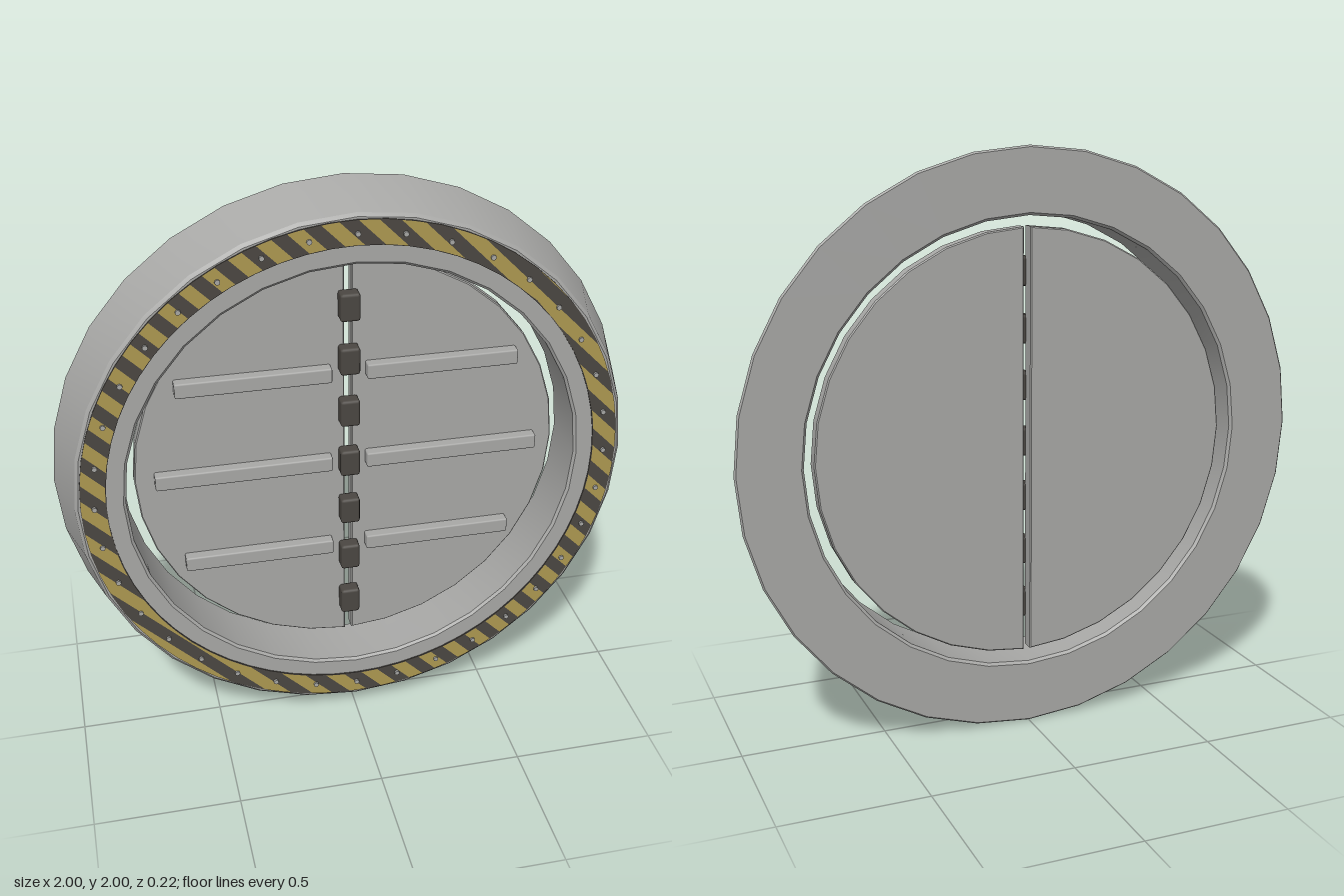
import * as THREE from 'three';
import { toCreasedNormals } from 'three/addons/utils/BufferGeometryUtils.js';
import { RoundedBoxGeometry } from 'three/addons/geometries/RoundedBoxGeometry.js';

const SEGMENTS = 32;
const steel = new THREE.MeshStandardMaterial({ color: 0xa8a8a6 });
steel.name = 'steel';
const dark = new THREE.MeshStandardMaterial({ color: 0x4b4742 });
dark.name = 'darkMetal';
const yellow = new THREE.MeshStandardMaterial({ color: 0xad9850 });
yellow.name = 'warningYellow';

function add(parent, name, geometry, material, x = 0, y = 0, z = 0) {
  const mesh = new THREE.Mesh(geometry, material);
  mesh.name = name;
  mesh.position.set(x, y, z);
  parent.add(mesh);
  return mesh;
}

// Closed (radius, z) profile turned about the z axis
function turned(profile, segments) {
  const pts = [...profile, profile[0]].map(([r, z]) => new THREE.Vector2(r, z));
  const geometry = new THREE.LatheGeometry(pts, segments).rotateX(Math.PI / 2);
  return toCreasedNormals(geometry, 0.4);
}

// Parallel diagonal stripes clipped to a flat ring
function stripes(inner, outer, period, phase) {
  const positions = [];
  const steps = 10;
  const half = (r, u) => Math.sqrt(Math.max(0, r * r - u * u));
  const point = (u, v) => [(u - v) * Math.SQRT1_2, (u + v) * Math.SQRT1_2, 0];
  for (let start = phase - period * 25; start < outer; start += period) {
    const a = Math.max(start, -outer);
    const b = Math.min(start + period / 2, outer);
    if (b <= a) continue;
    for (let i = 0; i < steps; i++) {
      const u0 = a + ((b - a) * i) / steps;
      const u1 = a + ((b - a) * (i + 1)) / steps;
      for (const side of [1, -1]) {
        const lo = (u) => (side > 0 ? half(inner, u) : -half(outer, u));
        const hi = (u) => (side > 0 ? half(outer, u) : -half(inner, u));
        const p = point(u0, lo(u0)), q = point(u1, lo(u1));
        const r = point(u1, hi(u1)), s = point(u0, hi(u0));
        positions.push(...p, ...q, ...r, ...p, ...r, ...s);
      }
    }
  }
  const geometry = new THREE.BufferGeometry();
  geometry.setAttribute('position', new THREE.Float32BufferAttribute(positions, 3));
  geometry.computeVertexNormals();
  return geometry;
}

// Half disc with a straight edge next to the centre gap
function halfDisc(radius, gap) {
  const start = Math.asin(gap / radius);
  const shape = new THREE.Shape();
  shape.moveTo(gap, -radius * Math.cos(start));
  for (let i = 1; i < SEGMENTS / 2; i++) {
    const a = -Math.PI / 2 + (i * Math.PI * 2) / SEGMENTS;
    shape.lineTo(radius * Math.cos(a), radius * Math.sin(a));
  }
  shape.lineTo(gap, radius * Math.cos(start));
  shape.closePath();
  const geometry = new THREE.ExtrudeGeometry(shape, {
    depth: 0.042, bevelThickness: 0.004, bevelSize: 0.004, bevelOffset: -0.004, bevelSegments: 1,
  });
  return toCreasedNormals(geometry, 0.4);
}

export function createModel() {
  const model = new THREE.Group();
  model.name = 'roundHatch';
  const hatch = new THREE.Group();
  hatch.name = 'hatch';
  hatch.position.y = 1;
  model.add(hatch);

  // Tapered outer frame with chamfered edges
  add(hatch, 'frame', turned([
    [0.785, -0.112], [0.994, -0.112], [1, -0.105], [0.944, 0.09],
    [0.933, 0.1], [0.785, 0.1], [0.776, 0.092], [0.776, -0.103],
  ], SEGMENTS), steel);

  // Warning band on the front of the frame
  add(hatch, 'warningBand', turned([
    [0.84, 0.097], [0.925, 0.097], [0.925, 0.104], [0.84, 0.104],
  ], 64), dark);
  add(hatch, 'warningStripes', stripes(0.842, 0.923, 0.0884, 0.832), yellow, 0, 0, 0.1055);

  // Bolts around the band
  const boltGeometry = new THREE.CylinderGeometry(0.009, 0.009, 0.012, 8).rotateX(Math.PI / 2);
  for (let i = 0; i < 36; i++) {
    const a = (i * Math.PI) / 18;
    add(hatch, 'bolt', boltGeometry, steel, 0.88 * Math.cos(a), 0.88 * Math.sin(a), 0.106);
  }

  // Two door leaves, each with three ribs
  const leafGeometry = halfDisc(0.738, 0.012);
  for (const side of [0, 1]) {
    const leaf = new THREE.Group();
    leaf.name = side ? 'rightDoor' : 'leftDoor';
    leaf.rotation.z = side * Math.PI;
    hatch.add(leaf);
    add(leaf, 'doorPanel', leafGeometry, steel, 0, 0, -0.084);
    for (const row of [-1, 0, 1]) {
      const end = row ? 0.585 : 0.67;
      const rib = new RoundedBoxGeometry(end - 0.06, 0.054, 0.05, 1, 0.006);
      add(leaf, 'doorRib', rib, steel, (end + 0.06) / 2, row * 0.342, -0.025);
    }
  }

  // Dark clasps joining the leaves
  const claspGeometry = new RoundedBoxGeometry(0.068, 0.098, 0.055, 1, 0.01);
  for (let i = -3; i <= 3; i++) {
    add(hatch, 'clasp', claspGeometry, dark, 0, i * 0.195, -0.018);
  }
  return model;
}
